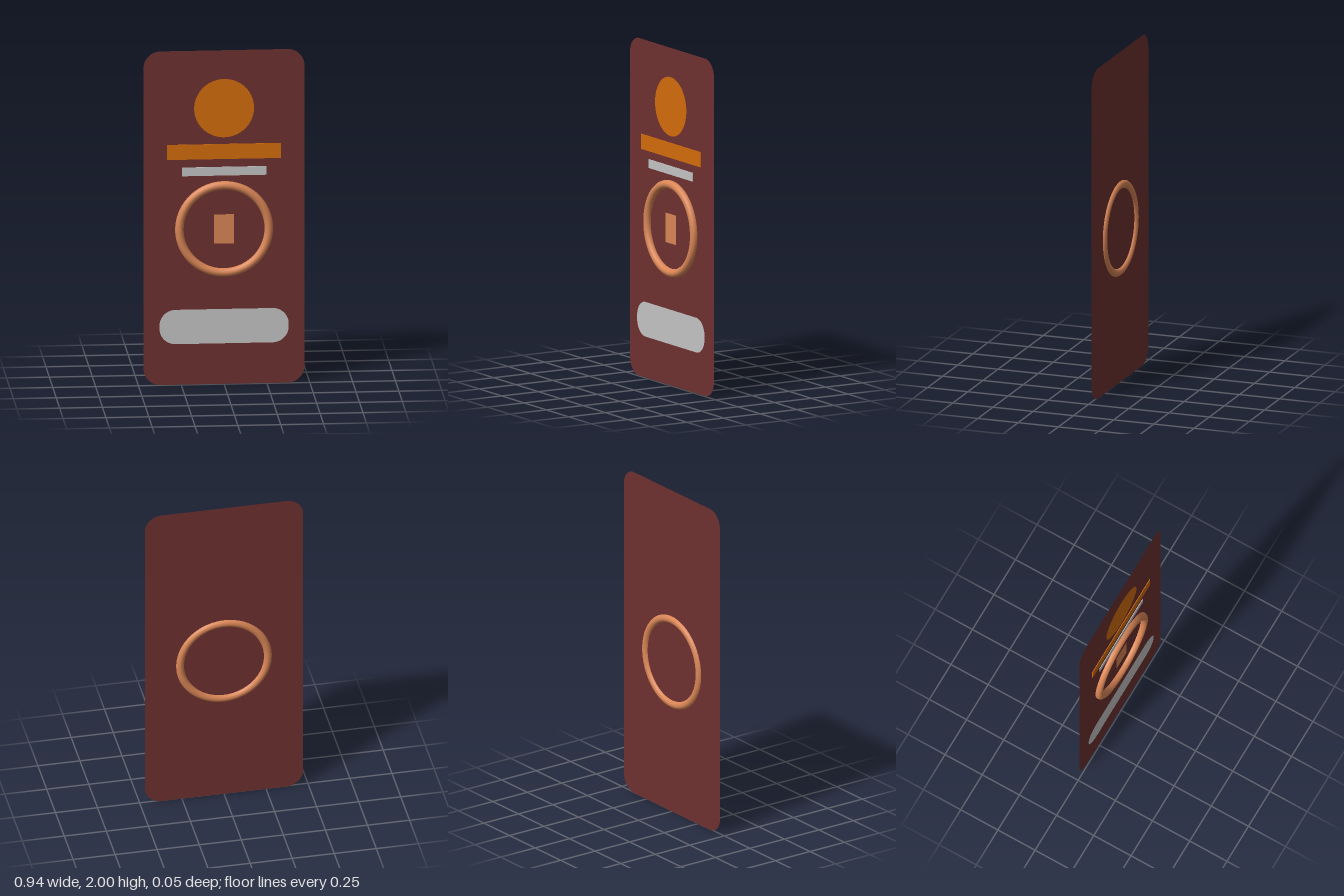
import * as THREE from 'three';

const material = (name, color, side = THREE.FrontSide) => {
  const m = new THREE.MeshStandardMaterial({ color, side });
  m.name = name;
  return m;
};

// Flat rounded rectangle centred on the origin
function roundedRect(w, h, r) {
  const x = w / 2, y = h / 2;
  const s = new THREE.Shape();
  s.moveTo(-x + r, -y);
  s.lineTo(x - r, -y);
  s.absarc(x - r, -y + r, r, -Math.PI / 2, 0);
  s.absarc(x - r, y - r, r, 0, Math.PI / 2);
  s.absarc(-x + r, y - r, r, Math.PI / 2, Math.PI);
  s.absarc(-x + r, -y + r, r, Math.PI, Math.PI * 1.5);
  return new THREE.ShapeGeometry(s, 16);
}

export function createModel() {
  const group = new THREE.Group();
  group.name = 'wallPanel';

  const maroon = material('maroon', 0x6e3030, THREE.DoubleSide);
  const orange = material('orange', 0xd46c0c, THREE.DoubleSide);
  const silver = material('silver', 0xc4c4c4, THREE.DoubleSide);
  const copper = material('copper', 0xda8656, THREE.DoubleSide);

  const add = (name, geometry, mat, x, y, z) => {
    const mesh = new THREE.Mesh(geometry, mat);
    mesh.name = name;
    mesh.position.set(x, y, z);
    group.add(mesh);
  };

  // Backing sheet
  add('panel', roundedRect(0.94, 2, 0.1), maroon, 0, 1, -0.008);

  // Upper emblem and title bars
  add('upperDisc', new THREE.CircleGeometry(0.175, 64), orange, 0, 1.655, 0.001);
  add('wideBar', new THREE.BoxGeometry(0.666, 0.09, 0.004), orange, 0, 1.395, 0);
  add('narrowBar', new THREE.BoxGeometry(0.494, 0.052, 0.004), silver, 0, 1.277, 0);

  // Ring passing through the panel, with its centre plate
  add('ring', new THREE.TorusGeometry(0.261, 0.025, 16, 80), copper, 0, 0.931, 0);
  add('centrePlate', new THREE.PlaneGeometry(0.116, 0.175), copper, 0, 0.931, 0.001);

  // Slider track and knob
  add('sliderTrack', roundedRect(0.754, 0.206, 0.094), silver, 0, 0.348, 0);
  add('sliderKnob', new THREE.CircleGeometry(0.078, 48), silver, -0.262, 0.35, 0.006);

  return group;
}
